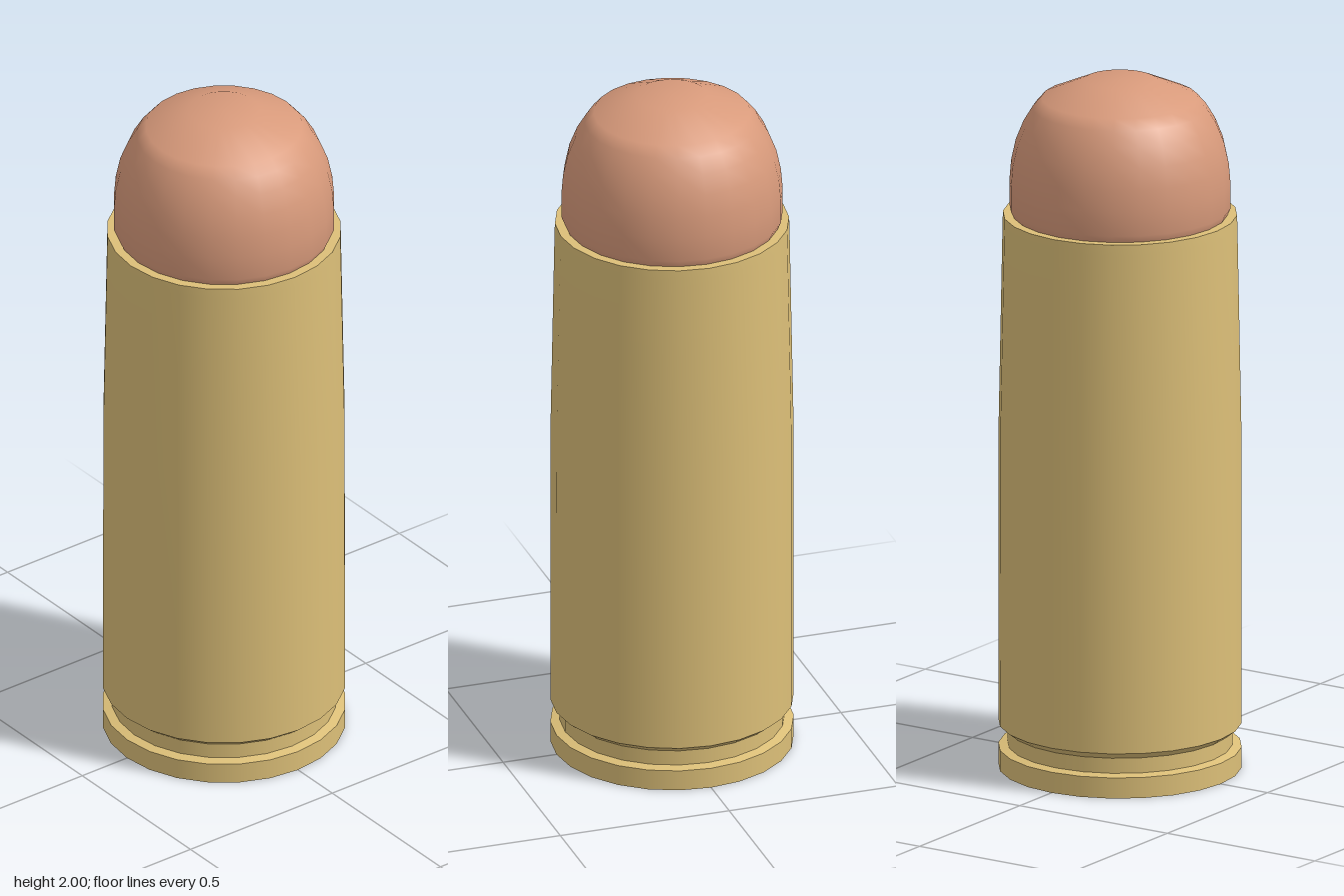
import * as THREE from 'three';

const SIDES = 24;

export function createModel() {
  const model = new THREE.Group();
  const brass = new THREE.MeshStandardMaterial({ color: 0xdcbf78 });
  brass.name = 'brass';
  const copper = new THREE.MeshStandardMaterial({ color: 0xd89a7b });
  copper.name = 'copper';

  // Turned part; the profile runs from bottom to top as [radius, height]
  const turn = (name, material, profile) => {
    const points = profile.map(([r, y]) => new THREE.Vector2(r, y));
    const mesh = new THREE.Mesh(new THREE.LatheGeometry(points, SIDES), material);
    mesh.name = name;
    model.add(mesh);
  };

  // Base rim and extraction groove
  turn('baseFace', brass, [[0, 0], [0.342, 0]]);
  turn('rim', brass, [[0.342, 0], [0.342, 0.06]]);
  turn('rimTop', brass, [[0.342, 0.06], [0.316, 0.066]]);
  turn('groove', brass, [[0.316, 0.066], [0.316, 0.11]]);
  turn('grooveBevel', brass, [[0.316, 0.11], [0.342, 0.13]]);

  // Gently tapering case and its flat mouth
  turn('caseBody', brass, [[0.342, 0.13], [0.341, 1.0], [0.33, 1.58], [0.329, 1.61]]);
  turn('caseMouth', brass, [[0.329, 1.61], [0.295, 1.61]]);

  // Rounded tip with a small flat nose
  turn('tip', copper, [
    [0.3, 1.605], [0.311, 1.63], [0.311, 1.7], [0.306, 1.76], [0.293, 1.82],
    [0.271, 1.875], [0.245, 1.918], [0.22, 1.947], [0.1, 2], [0, 2],
  ]);

  return model;
}
